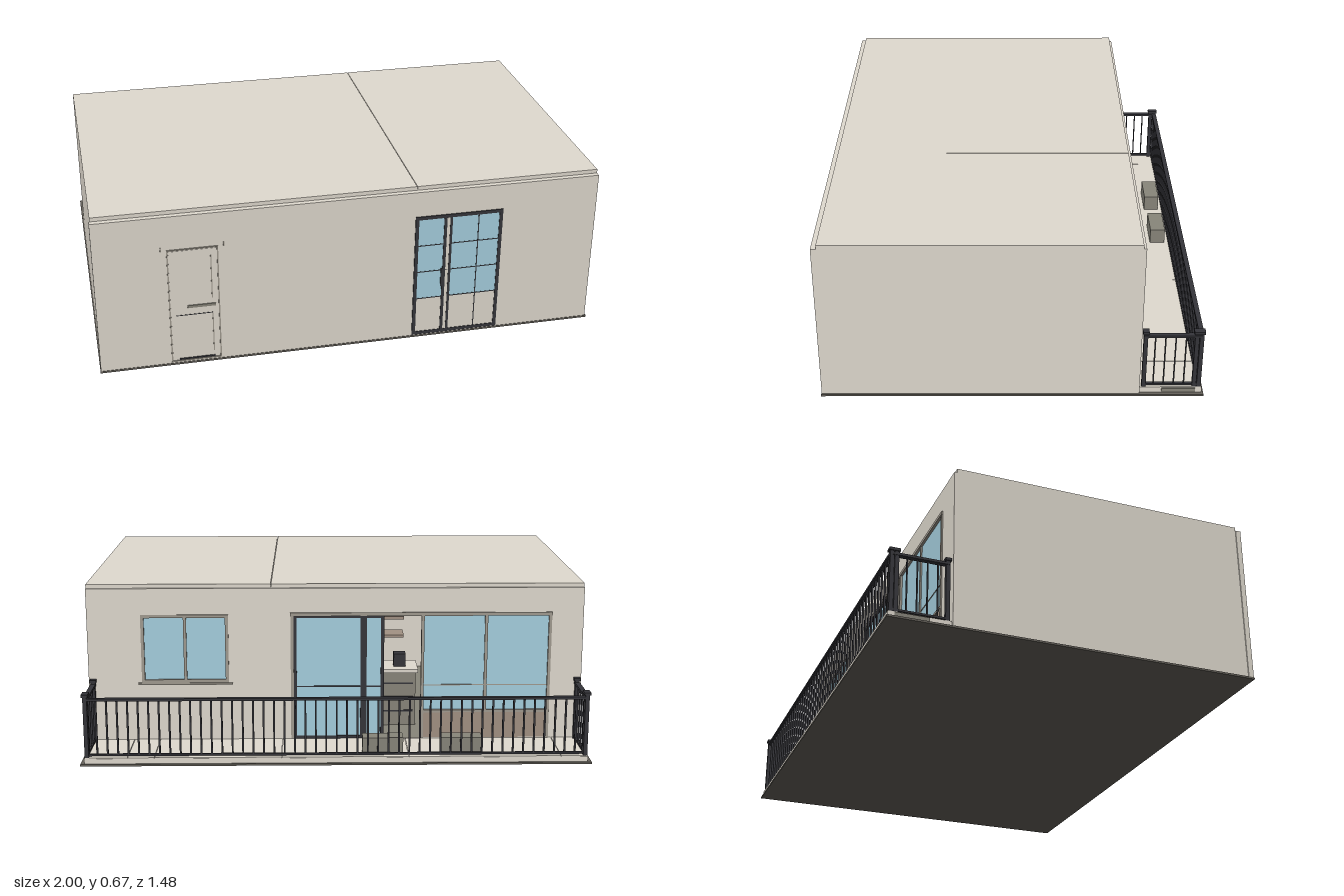
import * as THREE from 'three';

const mat = (name, color) => {
  const m = new THREE.MeshStandardMaterial({ color });
  m.name = name;
  return m;
};

export function createModel() {
  const wall = mat('beige wall', 0xe1dbd0);
  const trim = mat('grey trim', 0xa29c91);
  const black = mat('black metal', 0x35353a);
  const glass = mat('blue glass', 0xa7d1e1);
  const base = mat('dark foundation', 0x66625b);
  const stone = mat('olive stone', 0x89867b);
  const wood = mat('brown wood', 0xa39284);

  const house = new THREE.Group();
  house.name = 'house';

  // Box given by its minimum and maximum corners
  const box = (name, material, x0, x1, y0, y1, z0, z1, parent = house) => {
    const m = new THREE.Mesh(new THREE.BoxGeometry(x1 - x0, y1 - y0, z1 - z0), material);
    m.position.set((x0 + x1) / 2, (y0 + y1) / 2, (z0 + z1) / 2);
    m.name = name;
    parent.add(m);
  };
  const group = (name) => {
    const g = new THREE.Group();
    g.name = name;
    house.add(g);
    return g;
  };
  // Rectangular border of four bars
  const frame = (name, material, x0, x1, y0, y1, z0, z1, w, parent) => {
    box(name + 'Left', material, x0, x0 + w, y0, y1, z0, z1, parent);
    box(name + 'Right', material, x1 - w, x1, y0, y1, z0, z1, parent);
    box(name + 'Bottom', material, x0 + w, x1 - w, y0, y0 + w, z0, z1, parent);
    box(name + 'Top', material, x0 + w, x1 - w, y1 - w, y1, z0, z1, parent);
  };

  // Foundation and interior floor
  box('foundation', base, -1, 1, 0, 0.008, -0.737, 0.735);
  box('interiorFloor', stone, -0.975, 0.975, 0.008, 0.02, -0.47, 0.71);

  // Outer walls; the right end overlaps the front wall's edge slightly
  box('frontWall', wall, -0.998, 0.994, 0.008, 0.656, 0.712, 0.733);
  for (const s of [-1, 1]) {
    box('sideWall', wall, s * 0.982 - 0.012, s * 0.982 + 0.012, 0.008, 0.672, -0.479, 0.712);
  }
  const back = new THREE.Shape();
  back.moveTo(-0.994, 0.008);
  back.lineTo(0.994, 0.008);
  back.lineTo(0.994, 0.656);
  back.lineTo(-0.994, 0.656);
  back.closePath();
  const hole = (x0, x1, y0, y1) => {
    const h = new THREE.Path();
    h.moveTo(x0, y0);
    h.lineTo(x0, y1);
    h.lineTo(x1, y1);
    h.lineTo(x1, y0);
    h.closePath();
    back.holes.push(h);
  };
  hole(-0.345, 0.17, 0.03, 0.545);
  hole(-0.855, -0.355, 0.15, 0.545);
  hole(0.44, 0.77, 0.28, 0.54);
  const backWall = new THREE.Mesh(
    new THREE.ExtrudeGeometry(back, { depth: 0.011, bevelEnabled: false }), wall);
  backWall.position.z = -0.49;
  backWall.name = 'backWall';
  house.add(backWall);

  // Roof in two slabs with a narrow seam
  box('roofDeck', wall, -0.97, 0.97, 0.635, 0.66, -0.478, 0.711);
  box('roofWide', wall, -0.97, 0.2575, 0.66, 0.672, -0.479, 0.712);
  box('roofNarrow', wall, 0.2595, 0.97, 0.66, 0.672, -0.479, 0.712);

  // Front entry door with casing and raised panel lines
  const door = group('frontDoor');
  box('doorLeaf', wall, -0.715, -0.53, 0.022, 0.508, 0.733, 0.735, door);
  frame('doorCasing', trim, -0.721, -0.524, 0.014, 0.515, 0.733, 0.737, 0.005, door);
  box('doorThreshold', black, -0.69, -0.55, 0.022, 0.028, 0.735, 0.738, door);
  box('panelLine', black, -0.695, -0.553, 0.222, 0.225, 0.735, 0.736, door);
  box('panelEdge', trim, -0.555, -0.551, 0.05, 0.222, 0.735, 0.737, door);
  box('panelEdge', trim, -0.555, -0.551, 0.29, 0.48, 0.735, 0.737, door);
  box('doorHandle', stone, -0.65, -0.54, 0.255, 0.266, 0.735, 0.739, door);
  for (const x of [-0.742, -0.502]) box('doorHook', trim, x - 0.002, x + 0.002, 0.512, 0.528, 0.733, 0.737, door);

  // Front glazed sliding door
  const slider = group('frontSlidingDoor');
  box('upperGlass', glass, 0.262, 0.594, 0.18, 0.535, 0.733, 0.735, slider);
  box('lowerPanel', wall, 0.262, 0.594, 0.02, 0.18, 0.733, 0.735, slider);
  frame('sliderFrame', black, 0.25, 0.605, 0.012, 0.55, 0.733, 0.737, 0.014, slider);
  box('meetingStile', black, 0.366, 0.378, 0.02, 0.54, 0.734, 0.737, slider);
  box('meetingStile', black, 0.39, 0.4, 0.02, 0.54, 0.734, 0.737, slider);
  box('stileGap', wall, 0.378, 0.39, 0.02, 0.535, 0.734, 0.736, slider);
  box('verticalBar', black, 0.505, 0.509, 0.02, 0.54, 0.734, 0.736, slider);
  for (const y of [0.18, 0.302, 0.42]) box('crossBar', black, 0.262, 0.594, y - 0.002, y + 0.002, 0.734, 0.736, slider);
  box('pullHandle', black, 0.36, 0.367, 0.23, 0.31, 0.735, 0.739, slider);

  // Back bedroom window
  const win = group('backWindow');
  box('windowGlass', glass, 0.44, 0.77, 0.28, 0.54, -0.486, -0.48, win);
  frame('windowFrame', trim, 0.43, 0.78, 0.27, 0.55, -0.494, -0.478, 0.013, win);
  box('windowMullion', trim, 0.598, 0.61, 0.28, 0.54, -0.492, -0.48, win);
  box('windowSill', trim, 0.415, 0.795, 0.262, 0.27, -0.497, -0.488, win);

  // Back patio glazing: slider, open doorway, fixed pair
  const patio = group('patioGlazing');
  box('patioGlass', glass, -0.195, 0.17, 0.04, 0.545, -0.486, -0.48, patio);
  frame('slidingLeaf', black, -0.195, 0.17, 0.03, 0.547, -0.49, -0.477, 0.013, patio);
  box('leafStile', black, -0.125, -0.1, 0.03, 0.545, -0.491, -0.477, patio);
  box('leafCrossBar', black, -0.195, 0.17, 0.248, 0.253, -0.489, -0.478, patio);
  box('fixedGlass', glass, -0.855, -0.355, 0.15, 0.545, -0.486, -0.48, patio);
  box('fixedMullion', trim, -0.611, -0.599, 0.15, 0.545, -0.492, -0.478, patio);
  box('fixedCrossBar', trim, -0.855, -0.355, 0.253, 0.257, -0.488, -0.479, patio);
  box('patioHead', trim, -0.868, 0.182, 0.543, 0.557, -0.496, -0.477, patio);
  for (const x of [-0.861, -0.35, 0.175]) {
    box('patioJamb', trim, x - 0.006, x + 0.006, 0.03, 0.545, -0.495, -0.477, patio);
  }
  box('fixedSill', trim, -0.868, -0.345, 0.142, 0.152, -0.497, -0.477, patio);
  box('lowerPanelling', wood, -0.855, -0.356, 0.035, 0.142, -0.493, -0.488, patio);

  // Kitchen cabinet with drawers, seen through the open doorway
  const inside = group('interior');
  box('cabinet', stone, -0.34, 0.17, 0.02, 0.25, -0.27, -0.13, inside);
  box('cabinetTop', wall, -0.35, 0.18, 0.25, 0.265, -0.28, -0.12, inside);
  for (const y of [0.08, 0.14, 0.2]) {
    box('drawerLine', black, -0.33, 0.16, y, y + 0.006, -0.273, -0.27, inside);
  }
  for (let i = 0; i < 4; i++) {
    const x = -0.3 + i * 0.12;
    box('jar', i % 2 ? wall : black, x, x + 0.05, 0.265, 0.32, -0.23, -0.18, inside);
  }
  for (const y of [0.36, 0.44]) box('shelf', wood, -0.3, 0.3, y, y + 0.012, -0.1, 0, inside);

  // Balcony floor of separate tiles over a pale slab
  const balcony = group('balcony');
  const seams = [-0.985, -0.88, -0.283, 0.215, 0.712, 0.817, 0.985];
  box('balconySlab', wall, -0.985, 0.985, 0.008, 0.029, -0.73, -0.49, balcony);
  for (let i = 0; i < seams.length - 1; i++) {
    box('floorTile', wall, seams[i] + 0.001, seams[i + 1] - 0.001, 0.029, 0.032, -0.729, -0.492, balcony);
  }
  for (const s of [-1, 1]) {
    box('slabEndPlate', stone, s * 0.987 - 0.002, s * 0.987 + 0.002, 0.01, 0.028, -0.705, -0.575, balcony);
  }
  for (const x of [-0.492, -0.182]) {
    box('planter', stone, x - 0.08, x + 0.08, 0.032, 0.098, -0.695, -0.63, balcony);
  }

  // Railing: posts with caps, rails and evenly spaced balusters
  const rail = group('railing');
  for (const s of [-1, 1]) {
    const x = s * 0.975;
    for (const z of [-0.506, -0.7, -0.718]) {
      box('railPost', black, x - 0.008, x + 0.008, 0.03, 0.28, z - 0.008, z + 0.008, rail);
      box('postCap', black, x - 0.013, x + 0.013, 0.276, 0.287, z - 0.012, z + 0.012, rail);
    }
    box('sideTopRail', black, x - 0.01, x + 0.01, 0.26, 0.27, -0.72, -0.5, rail);
    box('sideBottomRail', black, x - 0.006, x + 0.006, 0.037, 0.045, -0.72, -0.5, rail);
    for (let i = 0; i < 4; i++) {
      const z = -0.543 - i * 0.039;
      box('sideBaluster', black, x - 0.003, x + 0.003, 0.04, 0.26, z - 0.0025, z + 0.0025, rail);
    }
  }
  box('topRail', black, -0.975, 0.975, 0.26, 0.27, -0.727, -0.708, rail);
  box('bottomRail', black, -0.975, 0.975, 0.037, 0.045, -0.722, -0.711, rail);
  const count = 48;
  for (let i = 1; i < count; i++) {
    const x = -0.975 + (1.95 * i) / count;
    box('baluster', black, x - 0.0035, x + 0.0035, 0.04, 0.26, -0.72, -0.713, rail);
  }
  return house;
}
